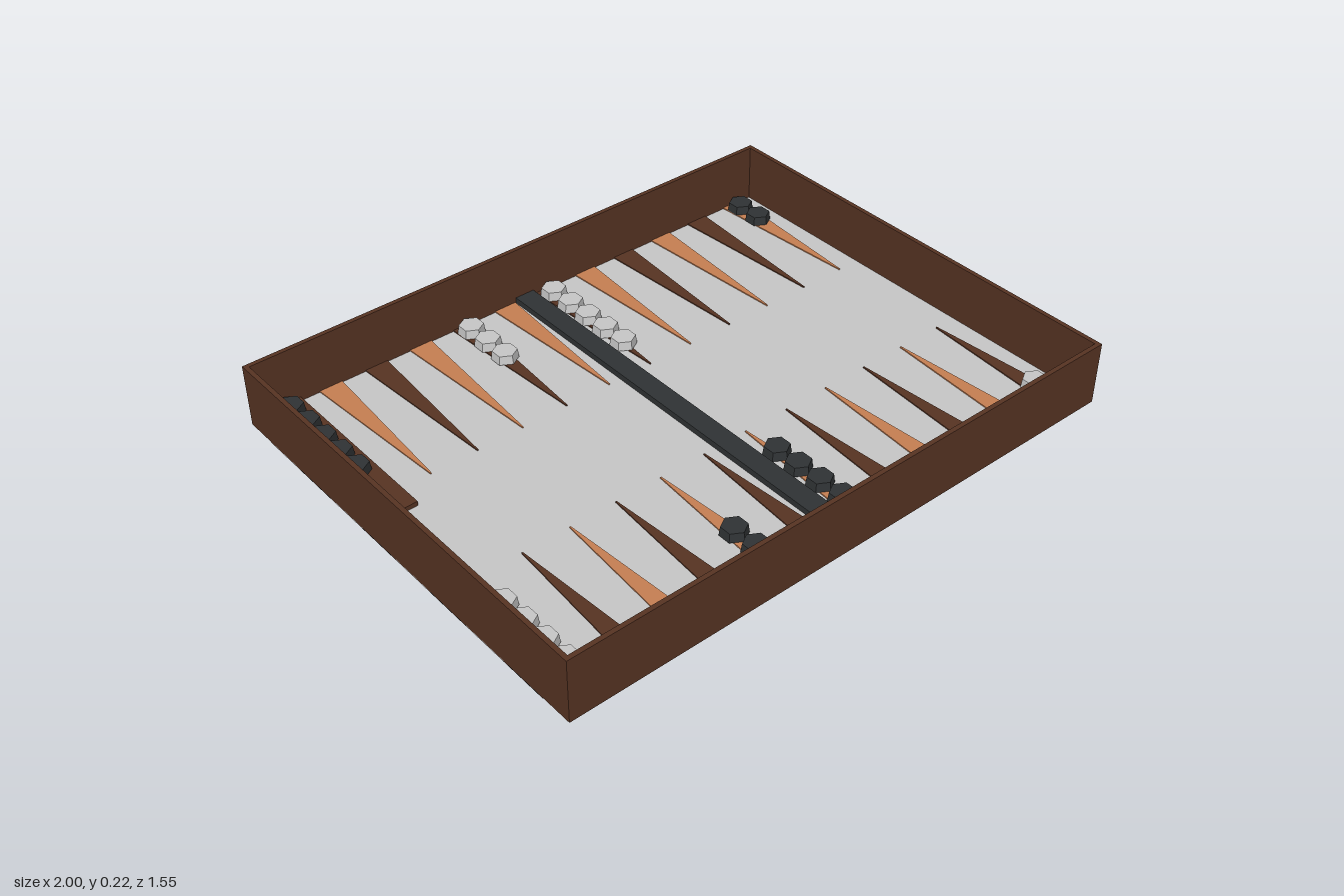
import * as THREE from 'three';
import { mergeGeometries } from 'three/addons/utils/BufferGeometryUtils.js';

const mat = (name, color) => {
  const m = new THREE.MeshStandardMaterial({ color });
  m.name = name;
  return m;
};

export function createModel() {
  const brown = mat('dark wood', 0x583423);
  const copper = mat('copper', 0xc88053);
  const grey = mat('light grey', 0xc9c9c9);
  const charcoal = mat('charcoal', 0x303335);
  const black = mat('black', 0x0b0b0b);

  const W = 2, D = 1.55, H = 0.218, T = 0.015, FLOOR = 0.02, LIFT = 0.003;
  const root = new THREE.Group();
  root.name = 'boardGame';

  const add = (name, geometry, material, x = 0, y = 0, z = 0, parent = root) => {
    const mesh = new THREE.Mesh(geometry, material);
    mesh.name = name;
    mesh.position.set(x, y, z);
    parent.add(mesh);
    return mesh;
  };
  const box = (name, w, h, d, material, x, y, z) =>
    add(name, new THREE.BoxGeometry(w, h, d), material, x, y + h / 2, z);

  // Tray: base, playing surface and four walls
  box('base', W - 2 * T, 0.012, D - 2 * T, brown, 0, LIFT, 0);
  box('playingSurface', W - 2 * T, 0.005, D - 2 * T, grey, 0, FLOOR - 0.005, 0);
  for (const s of [-1, 1]) {
    box('longWall', W, H - LIFT, T, brown, 0, LIFT, s * (D - T) / 2);
    box('sideWall', T, H - LIFT, D - 2 * T, brown, s * (W - T) / 2, LIFT, 0);
  }

  // Chequered underside, 12 by 8 squares
  const cell = W / 12, squares = [[], []];
  for (let i = 0; i < 12; i++) {
    for (let j = 0; j < 8; j++) {
      const g = new THREE.BoxGeometry(cell, LIFT, cell);
      g.translate((i - 5.5) * cell, LIFT / 2, (j - 3.5) * cell);
      squares[(i + j) % 2].push(g);
    }
  }
  add('undersideLightSquares', mergeGeometries(squares[0]), grey);
  add('undersideDarkSquares', mergeGeometries(squares[1]), black);

  // Twelve tapering points along each long wall
  const columnX = (i) => -0.897 + i * 0.1637;
  const pointShape = new THREE.Shape([
    new THREE.Vector2(-0.04, 0), new THREE.Vector2(0.04, 0),
    new THREE.Vector2(0.002, 0.54), new THREE.Vector2(-0.002, 0.54),
  ]);
  const pointGeo = new THREE.ExtrudeGeometry(pointShape, { depth: 0.004, bevelEnabled: false });
  pointGeo.rotateX(-Math.PI / 2);
  for (let i = 0; i < 12; i++) {
    for (const s of [-1, 1]) {
      const isCopper = (i % 2 === 0) === (s > 0);
      const p = add('point', pointGeo, isCopper ? copper : brown, columnX(i), FLOOR, s * 0.76);
      if (s < 0) p.rotation.y = Math.PI;
    }
  }

  // Centre bar and the wooden strip in the back corner
  box('centreBar', 0.07, 0.02, D - 2 * T, charcoal, 0, FLOOR, 0);
  box('cornerStrip', 0.1, 0.015, 0.63, brown, -0.888, FLOOR, -0.445);

  // Six-sided playing pieces: column, side, count, material
  const pieceGeo = new THREE.CylinderGeometry(0.04, 0.044, 0.03, 6).toNonIndexed();
  pieceGeo.computeVertexNormals();
  const stacks = [
    [0, -1, 5, charcoal], [4, -1, 3, grey], [6, -1, 5, grey], [11, -1, 2, charcoal],
    [0, 1, 5, grey], [4, 1, 3, charcoal], [6, 1, 5, charcoal], [11, 1, 2, grey],
  ];
  for (const [column, side, count, material] of stacks) {
    const lift = column === 0 && side < 0 ? 0.015 : 0.004;
    for (let k = 0; k < count; k++) {
      add('playingPiece', pieceGeo, material,
        columnX(column), FLOOR + lift + 0.015, side * (0.715 - k * 0.09));
    }
  }
  return root;
}
